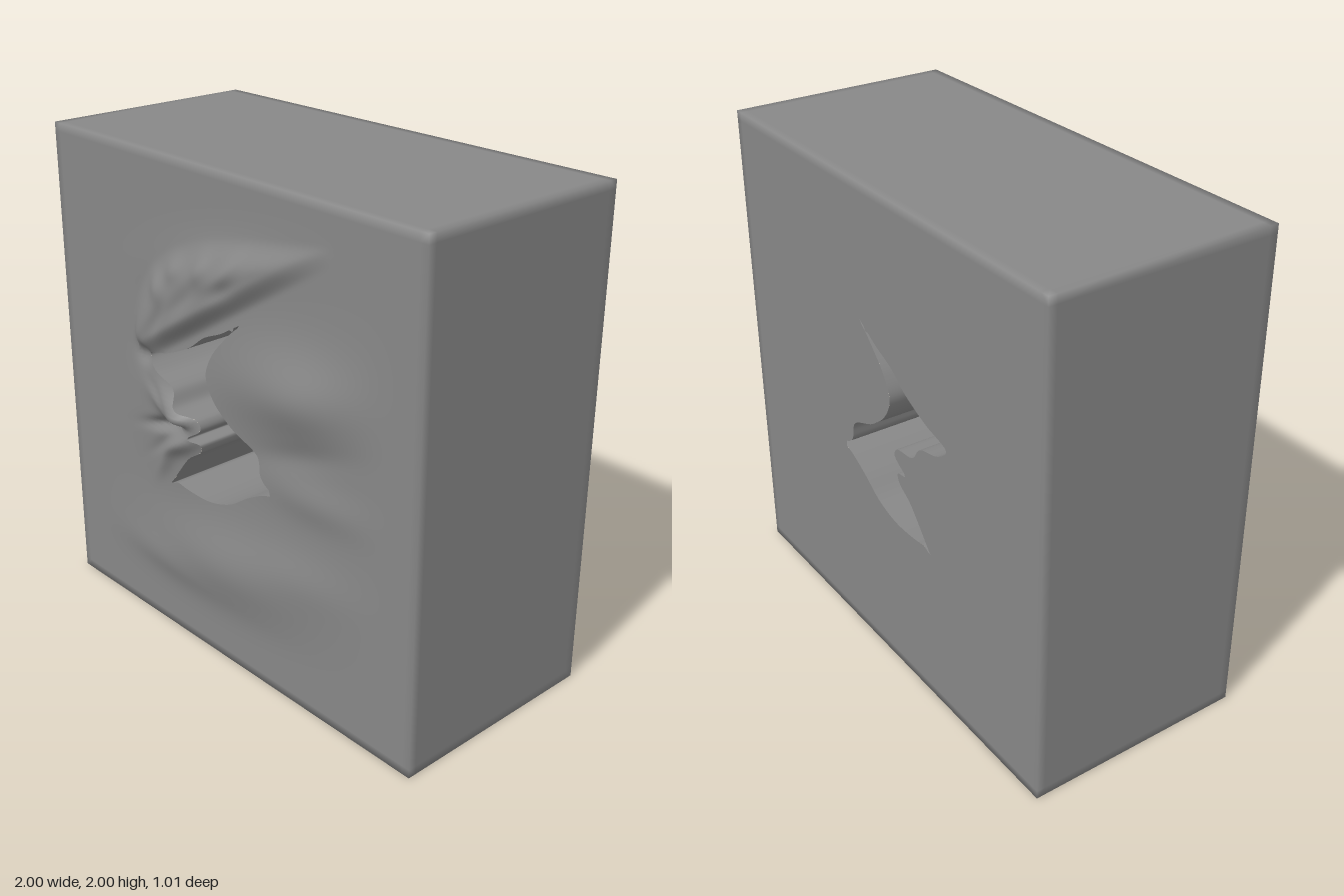
import * as THREE from 'three';
import { mergeGeometries, mergeVertices } from 'three/addons/utils/BufferGeometryUtils.js';

const FRONT = 0.41, BACK = -0.51, EDGE = 0.035, N = 130;

// Ragged outline of the opening, clockwise from the left tip
const outline = [
  [-0.445, 1.185], [-0.31, 1.23], [-0.18, 1.29], [-0.09, 1.355], [0.01, 1.4], [0.08, 1.441], [0.13, 1.468],
  [0.08, 1.428], [0.03, 1.38], [-0.04, 1.3], [-0.075, 1.215], [-0.04, 1.13], [0.06, 1.045], [0.2, 0.975],
  [0.22, 0.9], [0.26, 0.868], [0.34, 0.853], [0.25, 0.835], [0.14, 0.78], [0.04, 0.715], [-0.085, 0.678],
  [-0.23, 0.68], [-0.28, 0.687], [-0.328, 0.665], [-0.3, 0.7], [-0.26, 0.75], [-0.19, 0.83], [-0.12, 0.88],
  [-0.112, 0.915], [-0.165, 0.93], [-0.095, 0.985], [-0.11, 1.02], [-0.22, 1.04], [-0.27, 1.1],
  [-0.39, 1.135],
];
const contour = new THREE.CatmullRomCurve3(
  outline.map(([x, y]) => new THREE.Vector3(x, y, 0)), true, 'centripetal').getPoints(350).slice(0, -1);

function insideHole(x, y) {
  let inside = false;
  for (let i = 0, j = contour.length - 1; i < contour.length; j = i++) {
    const a = contour[i], b = contour[j];
    if ((a.y > y) !== (b.y > y) && x < (b.x - a.x) * (y - a.y) / (b.y - a.y) + a.x) inside = !inside;
  }
  return inside;
}

function nearestOnHole(x, y) {
  let best = contour[0], d = Infinity;
  for (const p of contour) {
    const e = (p.x - x) ** 2 + (p.y - y) ** 2;
    if (e < d) { d = e; best = p; }
  }
  return best;
}

// Soft swellings and creases: x, y, radius along, radius across, angle, height
const bumps = [
  [0.34, 1.27, 0.36, 0.17, 0.2, 0.045], [0.48, 1.28, 0.2, 0.12, 0.2, 0.022],
  [0.42, 1.05, 0.24, 0.05, 0.3, -0.008], [0.5, 0.9, 0.24, 0.08, 0.05, 0.016],
  [0.02, 0.43, 0.45, 0.16, 0.12, 0.042], [-0.4, 0.31, 0.24, 0.08, -0.05, 0.01],
  [0.45, 0.56, 0.25, 0.1, 0.1, 0.01], [-0.3, 0.95, 0.2, 0.22, 0, 0.025],
  [-0.24, 1.02, 0.14, 0.05, -0.15, 0.05], [-0.2, 0.99, 0.07, 0.03, 0.1, 0.03],
  [-0.22, 0.885, 0.14, 0.035, 0.5, 0.035],
  [-0.31, 0.935, 0.14, 0.022, 0.3, -0.04], [-0.35, 0.84, 0.11, 0.025, 0.65, -0.015],
  [-0.33, 1.04, 0.1, 0.02, -0.4, -0.012], [-0.34, 0.77, 0.1, 0.03, 0.9, 0.015],
  [-0.47, 1.19, 0.045, 0.045, 0, -0.03],
  [-0.33, 1.5, 0.05, 0.05, 0, 0.016], [-0.22, 1.59, 0.06, 0.04, 0.5, 0.014],
  [-0.05, 1.63, 0.06, 0.04, 1, 0.015], [0.1, 1.66, 0.08, 0.03, 0.8, 0.012],
  [-0.15, 1.5, 0.14, 0.035, 0.7, -0.013], [0.06, 1.58, 0.09, 0.03, 0.5, -0.01],
  [-0.32, 1.38, 0.1, 0.03, 1, -0.012], [0, 1.68, 0.4, 0.1, 0.3, 0.012],
];

function relief(x, y) {
  let h = 0;
  for (const [cx, cy, ra, rb, ang, k] of bumps) {
    const c = Math.cos(ang), s = Math.sin(ang), dx = x - cx, dy = y - cy;
    h += k * Math.exp(-(((dx * c + dy * s) / ra) ** 2) - (((dy * c - dx * s) / rb) ** 2));
  }
  // Overhanging brow: steep along its lower diagonal, fading away upward
  const dx = x + 0.45, dy = y - 1.19;
  const u = (dx * 0.853 + dy * 0.522) / 1.21, v = dy * 0.853 - dx * 0.522;
  if (u > -0.04 && u < 1) {
    const along = Math.sin(Math.PI * Math.pow((u + 0.04) / 1.04, 0.62));
    const width = 0.04 + 0.27 * along;
    h += 0.058 * Math.pow(along, 0.7) * THREE.MathUtils.smoothstep(v, -0.03, 0.05)
      * (1 - THREE.MathUtils.smoothstep(v, width * 0.35, width));
  }
  const fade = t => 1 - THREE.MathUtils.smoothstep(Math.abs(t), 0.7, 0.95);
  return h * fade(x) * fade(y - 1);
}

// Indexed sheet over two lists of coordinates
function sheet(us, vs, place, flip = false, keep = () => true) {
  const pos = [], index = [];
  for (const v of vs) for (const u of us) pos.push(...place(u, v));
  const add = (a, b, c) => { if (keep(a, b, c)) index.push(...(flip ? [a, c, b] : [a, b, c])); };
  const w = us.length;
  for (let j = 0; j < vs.length - 1; j++) for (let i = 0; i < w - 1; i++) {
    const a = j * w + i;
    add(a, a + 1, a + w + 1);
    add(a, a + w + 1, a + w);
  }
  const g = new THREE.BufferGeometry();
  g.setAttribute('position', new THREE.Float32BufferAttribute(pos, 3));
  g.setIndex(index);
  return g;
}

export function createModel() {
  const group = new THREE.Group();
  const material = new THREE.MeshStandardMaterial();
  material.color.set(0x878787);

  // Grid lines, with one line close to every edge for softened shading
  const xs = [-1];
  for (let i = 0; i <= N; i++) xs.push(-1 + EDGE + (2 - 2 * EDGE) * i / N);
  xs.push(1);
  const ys = xs.map(x => x + 1);
  const zs = [BACK, BACK + EDGE, FRONT - EDGE, FRONT];

  // Front and back faces share one grid, pulled onto the opening's rim
  const points = [], inside = [], onRim = [];
  for (const y of ys) for (const x of xs) {
    const p = nearestOnHole(x, y), isIn = insideHole(x, y);
    const snap = isIn || Math.hypot(p.x - x, p.y - y) < 0.4 * 2 / N;
    inside.push(isIn);
    onRim.push(snap);
    points.push(snap ? p : { x, y });
  }
  const keep = (...corners) => {
    if (corners.every(i => inside[i])) return false;
    if (!corners.every(i => onRim[i])) return true;
    const mean = axis => corners.reduce((sum, i) => sum + points[i][axis], 0) / 3;
    return !insideHole(mean('x'), mean('y'));
  };
  const face = (zAt, flip) => {
    let k = 0;
    return sheet(xs, ys, () => {
      const p = points[k++];
      return [p.x, p.y, zAt(p.x, p.y)];
    }, flip, keep);
  };
  const frontZ = (x, y) => FRONT + relief(x, y);

  const block = mergeVertices(mergeGeometries([
    face(frontZ, false),
    face(() => BACK, true),
    sheet(xs, zs, (x, z) => [x, 2, z], true),
    sheet(xs, zs, (x, z) => [x, 0, z]),
    sheet(ys, zs, (y, z) => [1, y, z]),
    sheet(ys, zs, (y, z) => [-1, y, z], true),
  ]), 1e-5);
  block.computeVertexNormals();
  const body = new THREE.Mesh(block, material);
  body.name = 'reliefBlock';
  group.add(body);

  // Inner wall of the opening, running straight through the block
  const steps = contour.map((_, i) => i).concat(0);
  const wall = mergeVertices(sheet(steps, [0, 1], (i, t) => {
    const p = contour[i];
    return [p.x, p.y, t ? BACK : frontZ(p.x, p.y)];
  }, true), 1e-5);
  wall.computeVertexNormals();
  const opening = new THREE.Mesh(wall, material);
  opening.name = 'openingWall';
  group.add(opening);

  return group;
}
